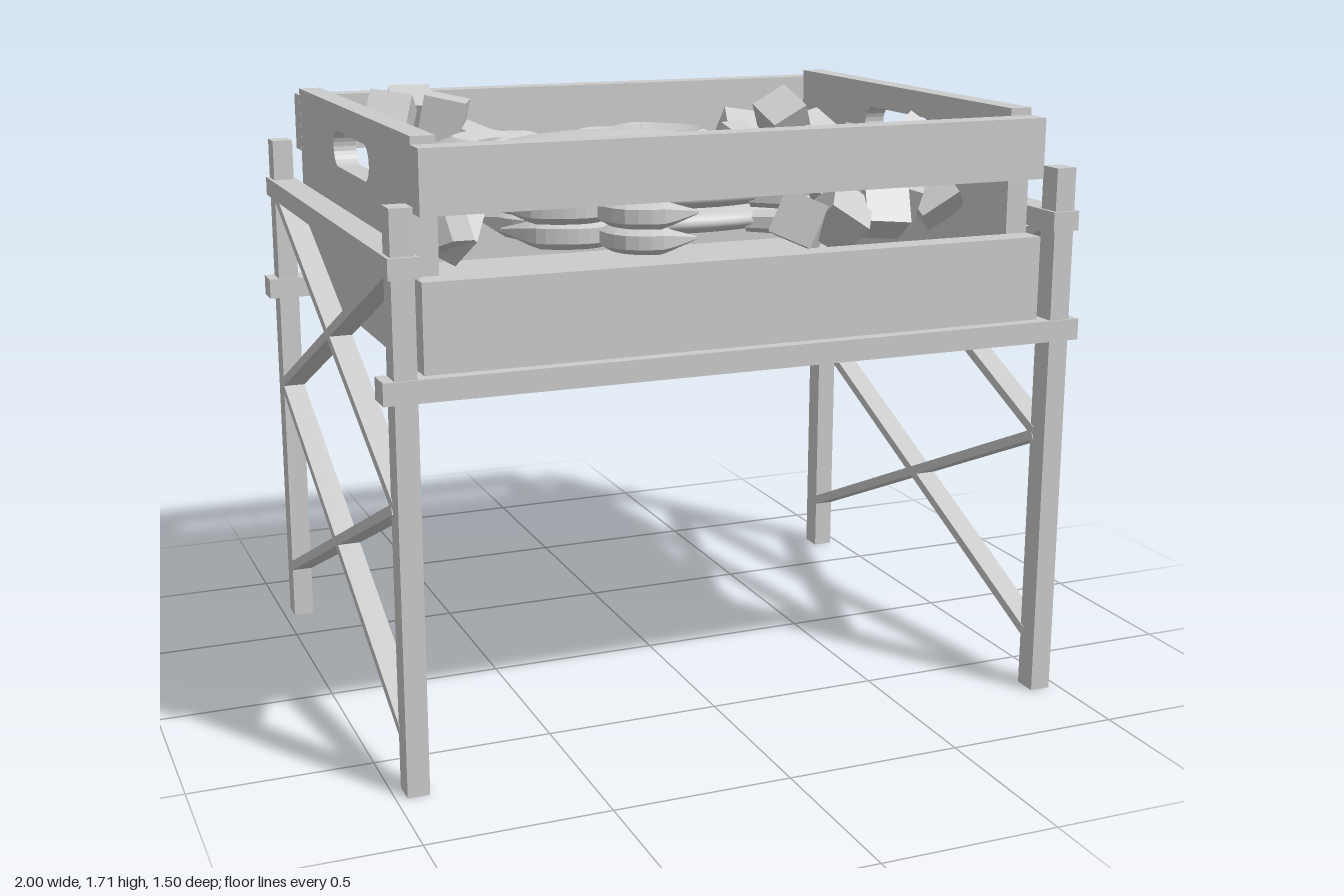
import * as THREE from 'three';

const grey = new THREE.MeshStandardMaterial({ color: 0xcccccc });
const faceted = new THREE.MeshStandardMaterial({ color: 0xcccccc, flatShading: true });

function box(parent, name, size, pos) {
  const mesh = new THREE.Mesh(new THREE.BoxGeometry(...size), grey);
  mesh.name = name;
  mesh.position.set(...pos);
  parent.add(mesh);
  return mesh;
}

// Tapered limb: hexagonal rings swept along a flat [x, z] path, one half width per path point
function limb(path, widths, height) {
  const curve = new THREE.CatmullRomCurve3(path.map(([x, z]) => new THREE.Vector3(x, 0, z)));
  const rings = 16, sides = 6, verts = [], index = [];
  for (let i = 0; i <= rings; i++) {
    const t = i / rings, p = curve.getPoint(t), d = curve.getTangent(t);
    const f = t * (widths.length - 1), k = Math.min(Math.floor(f), widths.length - 2);
    const w = THREE.MathUtils.lerp(widths[k], widths[k + 1], f - k);
    const h = Math.min(height, w * 1.1);
    for (let j = 0; j < sides; j++) {
      const a = ((j + 0.5) / sides) * Math.PI * 2;
      verts.push(p.x - d.z * w * Math.cos(a), h * Math.sin(a), p.z + d.x * w * Math.cos(a));
    }
  }
  for (let i = 0; i < rings; i++) {
    for (let j = 0; j < sides; j++) {
      const a = i * sides + j, b = i * sides + ((j + 1) % sides);
      index.push(a, a + sides, b, b, a + sides, b + sides);
    }
  }
  const geo = new THREE.BufferGeometry();
  geo.setAttribute('position', new THREE.Float32BufferAttribute(verts, 3));
  geo.setIndex(index);
  geo.computeVertexNormals();
  return geo;
}

// Domed shell with a squarish oval outline, narrower at the tail
function shellGeometry() {
  const geo = new THREE.SphereGeometry(1, 28, 14), p = geo.attributes.position;
  for (let i = 0; i < p.count; i++) {
    const x = p.getX(i), y = p.getY(i), z = p.getZ(i), a = Math.atan2(z, x);
    const k = (Math.abs(Math.cos(a)) ** 2.4 + Math.abs(Math.sin(a)) ** 2.4) ** (-1 / 2.4);
    p.setXYZ(i, x * k * 0.36 * (1 - 0.1 * Math.max(0, z)), y * (y > 0 ? 0.065 : 0.05), z * k * 0.23);
  }
  geo.computeVertexNormals();
  return geo;
}

// Limbs of one side: [name, path, half widths, half height]
const limbs = [
  ['clawArm', [[0.26, -0.08], [0.36, -0.13], [0.37, -0.24], [0.28, -0.35], [0.17, -0.385]], [0.03, 0.045, 0.055, 0.055, 0.03], 0.045],
  ['clawOuterFinger', [[0.26, -0.37], [0.16, -0.42], [0.08, -0.41], [0.01, -0.37]], [0.02, 0.033, 0.025, 0.003], 0.03],
  ['clawInnerFinger', [[0.25, -0.35], [0.16, -0.365], [0.08, -0.365], [0.01, -0.36]], [0.02, 0.03, 0.02, 0.003], 0.025],
  ['frontLeg', [[0.3, 0.1], [0.43, 0.09], [0.54, -0.02], [0.61, -0.17]], [0.035, 0.05, 0.05, 0.006], 0.045],
  ['middleLeg', [[0.26, 0.14], [0.39, 0.22], [0.52, 0.18], [0.61, 0.06]], [0.035, 0.045, 0.045, 0.006], 0.045],
  ['backLeg', [[0.13, 0.18], [0.25, 0.25], [0.35, 0.28], [0.33, 0.37], [0.25, 0.41], [0.13, 0.4]], [0.03, 0.035, 0.035, 0.045, 0.04, 0.005], 0.04],
];

function crab() {
  const g = new THREE.Group();
  g.name = 'crab';
  const shell = new THREE.Mesh(shellGeometry(), grey);
  shell.name = 'crabShell';
  g.add(shell);
  for (const s of [-1, 1]) {
    for (const [name, path, widths, height] of limbs) {
      const mesh = new THREE.Mesh(limb(path.map(([x, z]) => [x * s, z]), widths, height), faceted);
      mesh.name = name;
      mesh.position.y = -0.005;
      g.add(mesh);
    }
  }
  return g;
}

// Crate end panel with a rounded hand slot
function endPanel() {
  const shape = new THREE.Shape();
  shape.moveTo(-0.635, 1.1);
  shape.lineTo(0.655, 1.1);
  shape.lineTo(0.655, 1.695);
  shape.lineTo(-0.635, 1.695);
  shape.closePath();
  const slot = new THREE.Path();
  slot.absarc(0.16, 1.57, 0.05, -Math.PI / 2, Math.PI / 2, false);
  slot.absarc(-0.155, 1.57, 0.05, Math.PI / 2, Math.PI * 1.5, false);
  slot.closePath();
  shape.holes.push(slot);
  const geo = new THREE.ExtrudeGeometry(shape, { depth: 0.065, bevelEnabled: false, curveSegments: 6 });
  geo.translate(0, 0, -0.0325);
  geo.rotateY(Math.PI / 2);
  return geo;
}

export function createModel() {
  const model = new THREE.Group();

  // Stand: four posts, long rails, end rails and crossed braces
  const stand = new THREE.Group();
  stand.name = 'stand';
  model.add(stand);
  for (const sx of [-1, 1]) {
    for (const z of [-0.705, 0.705]) box(stand, 'post', [0.06, 1.537, 0.07], [sx * 0.94, 0.7685, z]);
    box(stand, 'endRail', [0.08, 0.055, 1.5], [sx * 0.94, 1.39, 0]);
    for (const y of [0.465, 1.075]) {
      for (const s of [-1, 1]) {
        const brace = box(stand, 'crossBrace', [0.064, 0.028, Math.hypot(1.36, 0.6)], [sx * 0.94, y, 0]);
        brace.rotation.x = s * Math.atan2(0.6, 1.36);
      }
    }
  }
  for (const s of [-1, 1]) box(stand, 'longRail', [2, 0.06, 0.08], [0, 1.08, s * 0.705]);

  // Crate: slatted long sides, solid ends and floor
  const crate = new THREE.Group();
  crate.name = 'crate';
  model.add(crate);
  for (const z of [-0.69, 0.672]) {
    box(crate, 'lowerSlat', [1.77, 0.235, 0.075], [0, 1.2275, z]);
    box(crate, 'upperSlat', [1.77, 0.168, 0.075], [0, 1.59, z]);
  }
  const endGeo = endPanel();
  for (const s of [-1, 1]) {
    const end = new THREE.Mesh(endGeo, grey);
    end.name = 'endPanel';
    end.position.x = s * 0.852;
    crate.add(end);
  }
  box(crate, 'floor', [1.65, 0.025, 1.3], [0, 1.118, -0.01]);

  // Three stacked crabs
  for (const [x, y, z] of [[-0.2, 1.56, 0.15], [0.13, 1.42, -0.04], [0.21, 1.31, -0.24]]) {
    const c = crab();
    c.position.set(x, y, z);
    model.add(c);
  }

  // Tumbled ice cubes
  const ice = new THREE.Group();
  ice.name = 'iceCubes';
  model.add(ice);
  const cubes = [
    [-0.57, 1.62, -0.54], [-0.67, 1.62, -0.4], [-0.51, 1.62, -0.38], [-0.42, 1.52, -0.36],
    [-0.72, 1.46, -0.15], [-0.53, 1.47, -0.16], [-0.63, 1.43, -0.24], [-0.74, 1.42, 0.34],
    [-0.68, 1.4, 0.26], [0.53, 1.5, -0.53], [0.47, 1.48, -0.41], [0.62, 1.57, -0.4],
    [0.73, 1.5, -0.41], [0.7, 1.42, -0.52], [0.57, 1.53, 0.24], [0.71, 1.55, 0.28],
    [0.5, 1.5, 0.36], [0.62, 1.42, 0.37], [0.74, 1.42, 0.36], [0.39, 1.47, 0.46],
    [0.24, 1.4, 0.52], [0.48, 1.42, 0.53], [0.34, 1.41, 0.55],
    [-0.61, 1.06, 0.28], [-0.58, 1.14, 0.16], [-0.6, 1.17, 0.5],
  ];
  let seed = 7;
  const rand = () => {
    seed = (seed * 16807) % 2147483647;
    return seed / 2147483647;
  };
  for (const pos of cubes) {
    const cube = box(ice, 'iceCube', [0.125, 0.125, 0.125], pos);
    cube.rotation.set(rand() * 1.5, rand() * 1.5, rand() * 1.5);
  }
  return model;
}
